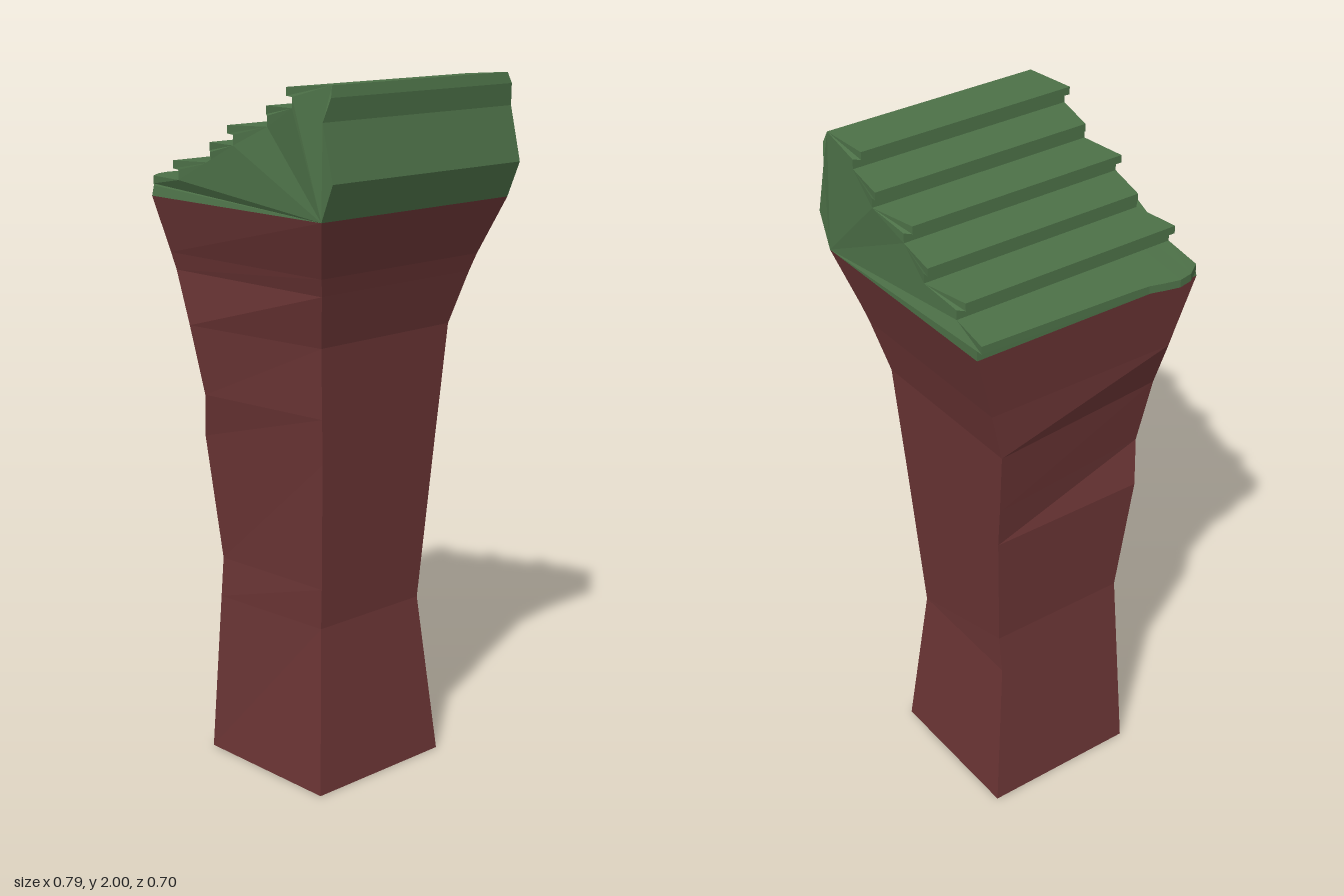
import * as THREE from 'three';

const paint = (color) => new THREE.MeshStandardMaterial({ color, flatShading: true, side: THREE.DoubleSide });

// Four-cornered shaft, open below: y, then x,z of front-left, front-right, back-right, back-left corners
function makePost() {
  const rings = [
    [0, -0.25, 0.235, 0.22, 0.235, 0.22, -0.24, -0.25, -0.24],
    [0.48, -0.222, 0.219, 0.175, 0.19, 0.175, -0.195, -0.222, -0.2],
    [0.6, -0.215, 0.215, 0.183, 0.195, 0.183, -0.203, -0.215, -0.205],
    [0.97, -0.245, 0.25, 0.208, 0.215, 0.208, -0.227, -0.245, -0.228],
    [1.1, -0.215, 0.273, 0.217, 0.225, 0.217, -0.236, -0.265, -0.236],
    [1.3, -0.245, 0.3, 0.23, 0.24, 0.23, -0.25, -0.295, -0.25],
    [1.45, -0.305, 0.295, 0.272, 0.277, 0.272, -0.287, -0.305, -0.287],
    [1.5, -0.312, 0.308, 0.287, 0.292, 0.287, -0.302, -0.312, -0.302],
    [1.66, -0.335, 0.352, 0.35, 0.352, 0.35, -0.352, -0.335, -0.352],
  ];
  const pos = [], index = [];
  rings.forEach(([y, ...c], r) => {
    for (let k = 0; k < 4; k++) {
      pos.push(c[2 * k], y, c[2 * k + 1]);
      if (r === 0) continue;
      const a = (r - 1) * 4 + k, b = (r - 1) * 4 + ((k + 1) % 4);
      index.push(a, b, b + 4, a, b + 4, a + 4);
    }
  });
  const geo = new THREE.BufferGeometry();
  geo.setAttribute('position', new THREE.Float32BufferAttribute(pos, 3));
  geo.setIndex(index);
  geo.computeVertexNormals();
  return new THREE.Mesh(geo, paint(0x6b3535));
}

// Stepped cap: side profile extruded along z, with uneven ends
function makeCap() {
  // profile points: x, y, front z, back z
  const profile = [
    [-0.335, 1.66, 0.352, -0.352],
    [0.35, 1.66, 0.352, -0.352],
    [0.392, 1.76, 0.352, -0.352],
    [0.355, 1.91, 0.352, -0.352],
    [0.362, 1.97, 0.33, -0.345],
    [0.355, 2.0, 0.32, -0.335],
  ];
  // overhanging slat edges, from top to bottom, leaning alternately to front and back
  for (let i = 0; i < 5; i++) {
    const x = 0.22 - i * 0.115, y = 1.99 - i * 0.056, front = i % 2 === 0;
    const lip = front ? [0.352, -0.318] : [0.318, -0.352];
    const root = front ? [0.35, -0.332] : [0.332, -0.35];
    profile.push([x, y, ...lip], [x, y - 0.022, ...lip]);
    profile.push([x + 0.02, y - 0.024, ...root], [x + 0.02, y - 0.052, ...root]);
  }
  profile.push([-0.37, 1.712, 0.33, -0.352], [-0.37, 1.69, 0.33, -0.352], [-0.335, 1.688, 0.345, -0.352]);

  const shape = new THREE.Shape(profile.map(([x, y]) => new THREE.Vector2(x, y)));
  const geo = new THREE.ExtrudeGeometry(shape, { depth: 1, steps: 16, bevelEnabled: false });
  const p = geo.attributes.position;
  // worn bulge of the lowest slat: position along z, edge x
  const worn = [[0, -0.355], [0.74, -0.37], [0.8, -0.382], [0.87, -0.395], [0.94, -0.385], [1, -0.355]];
  const wornEdge = (t) => {
    const k = Math.max(1, worn.findIndex(([s]) => s >= t - 1e-6));
    const [s0, x0] = worn[k - 1], [s1, x1] = worn[k];
    return THREE.MathUtils.mapLinear(t, s0, s1, x0, x1);
  };
  for (let i = 0; i < p.count; i++) {
    const x = p.getX(i), y = p.getY(i), t = p.getZ(i);
    const [, , zf, zb] = profile.find((q) => Math.hypot(q[0] - x, q[1] - y) < 1e-4);
    p.setZ(i, THREE.MathUtils.lerp(zb, zf, t));
    if (x < -0.36) p.setX(i, wornEdge(t));
  }
  geo.computeVertexNormals();
  return new THREE.Mesh(geo, paint(0x4c7047));
}

export function createModel() {
  const group = new THREE.Group();
  group.name = 'steppedPost';
  const post = makePost();
  post.name = 'post';
  const cap = makeCap();
  cap.name = 'steppedCap';
  group.add(post, cap);
  return group;
}
